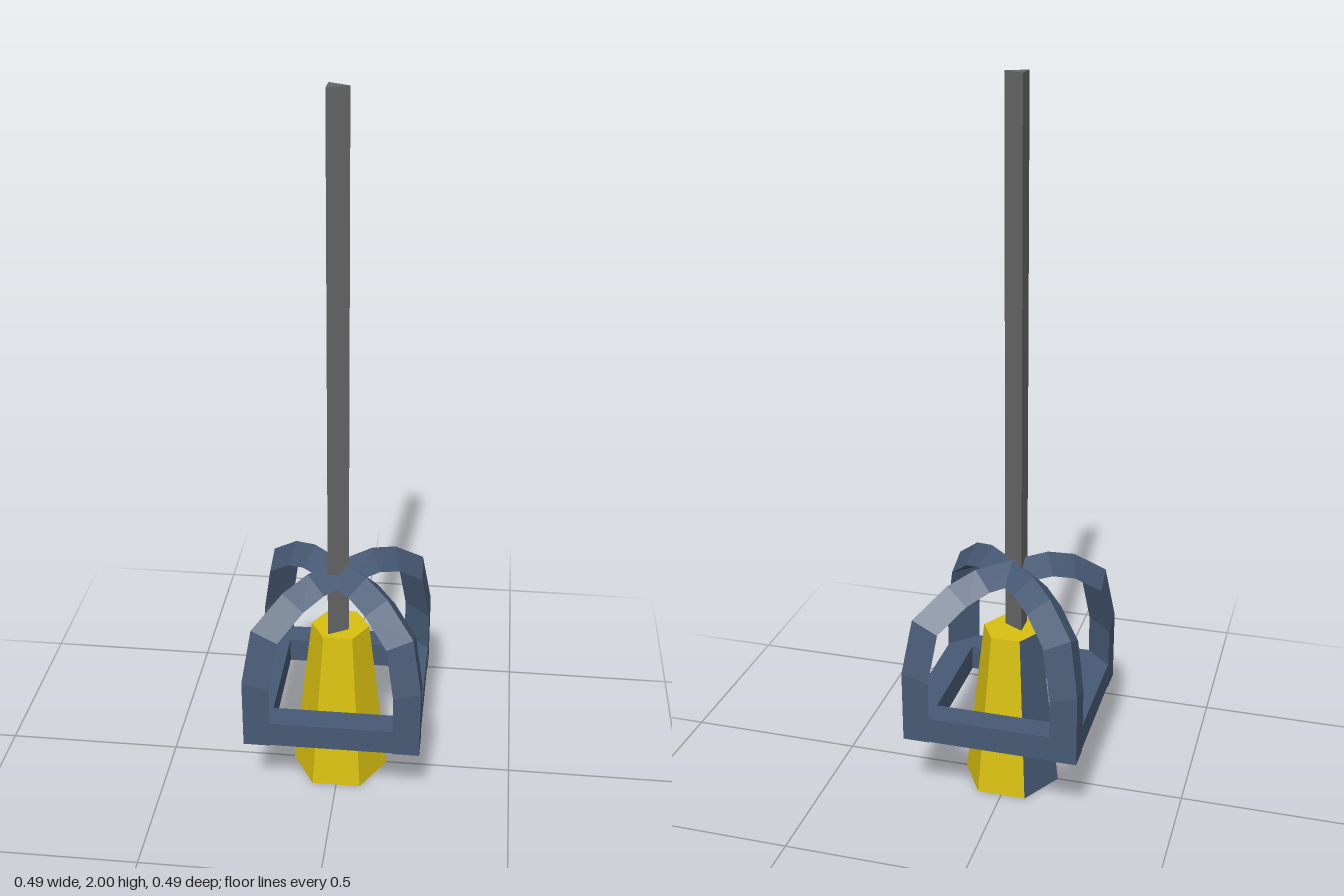
import * as THREE from 'three';

const mat = (color) => new THREE.MeshStandardMaterial({ color, flatShading: true });

function add(parent, name, geometry, material) {
  const mesh = new THREE.Mesh(geometry, material);
  mesh.name = name;
  parent.add(mesh);
  return mesh;
}

// Triangular strut: each section is an outer ridge point and an inner edge pair, in the XY plane
function strutGeometry(sections, halfWidth) {
  const rings = sections.map(([ro, yo, ri, yi]) => [
    [ro, yo, 0], [ri, yi, halfWidth], [ri, yi, -halfWidth],
  ]);
  const pos = [];
  const tri = (a, b, c) => pos.push(...a, ...b, ...c);
  for (let i = 0; i < rings.length - 1; i++) {
    for (let j = 0; j < 3; j++) {
      const k = (j + 1) % 3;
      const a = rings[i][j], b = rings[i][k], c = rings[i + 1][k], d = rings[i + 1][j];
      tri(a, d, c);
      tri(a, c, b);
    }
  }
  const last = rings[rings.length - 1];
  tri(rings[0][0], rings[0][1], rings[0][2]);
  tri(last[0], last[2], last[1]);
  const g = new THREE.BufferGeometry();
  g.setAttribute('position', new THREE.Float32BufferAttribute(pos, 3));
  g.computeVertexNormals();
  return g;
}

export function createModel() {
  const model = new THREE.Group();
  const yellow = mat(0xd9c010);
  const blue = mat(0x475a75);
  const grey = mat(0x666666);

  // Three-sided hanging rod
  const rod = add(model, 'hangingRod',
    new THREE.CylinderGeometry(0.037, 0.037, 1.55, 3, 1, false, Math.PI / 2), grey);
  rod.position.set(-0.011, 1.225, 0.022);

  // Six-sided tapered bulb, with one panel in the frame colour
  const bulb = new THREE.Group();
  bulb.name = 'bulb';
  model.add(bulb);
  const h = 0.478, rTop = 0.082, rBottom = 0.138;
  add(bulb, 'bulbSides', new THREE.CylinderGeometry(rTop, rBottom, h, 5, 1, true,
    Math.PI * 1.5, Math.PI * 5 / 3), yellow).position.y = h / 2;
  add(bulb, 'bulbDarkPanel', new THREE.CylinderGeometry(rTop, rBottom, h, 1, 1, true,
    Math.PI * 7 / 6, Math.PI / 3), blue).position.y = h / 2;
  add(bulb, 'bulbTop', new THREE.CircleGeometry(rTop, 6).rotateX(-Math.PI / 2), yellow).position.y = h;
  add(bulb, 'bulbBottom', new THREE.CircleGeometry(rBottom, 6).rotateX(Math.PI / 2), yellow);

  // Square base ring, mitred by extruding a square with a square hole
  const square = (shape, s) => shape.moveTo(-s, -s).lineTo(s, -s).lineTo(s, s).lineTo(-s, s).closePath();
  const outline = square(new THREE.Shape(), 0.243);
  outline.holes.push(square(new THREE.Path(), 0.17));
  const ring = new THREE.ExtrudeGeometry(outline, { depth: 0.073, bevelEnabled: false });
  add(model, 'baseRing', ring.rotateX(-Math.PI / 2), blue).position.y = 0.226;

  // Four arched struts from the corners to the crown: [ridge r, ridge y, inner r, inner y]
  const sections = [
    [0.346, 0.225, 0.293, 0.225],
    [0.346, 0.43, 0.293, 0.41],
    [0.310, 0.585, 0.262, 0.55],
    [0.202, 0.66, 0.172, 0.613],
    [0.115, 0.688, 0.10, 0.638],
    [0, 0.69, 0, 0.642],
  ];
  const strut = strutGeometry(sections, 0.053);
  for (let i = 0; i < 4; i++) {
    add(model, 'archStrut', strut, blue).rotation.y = Math.PI / 4 + i * Math.PI / 2;
  }
  return model;
}
